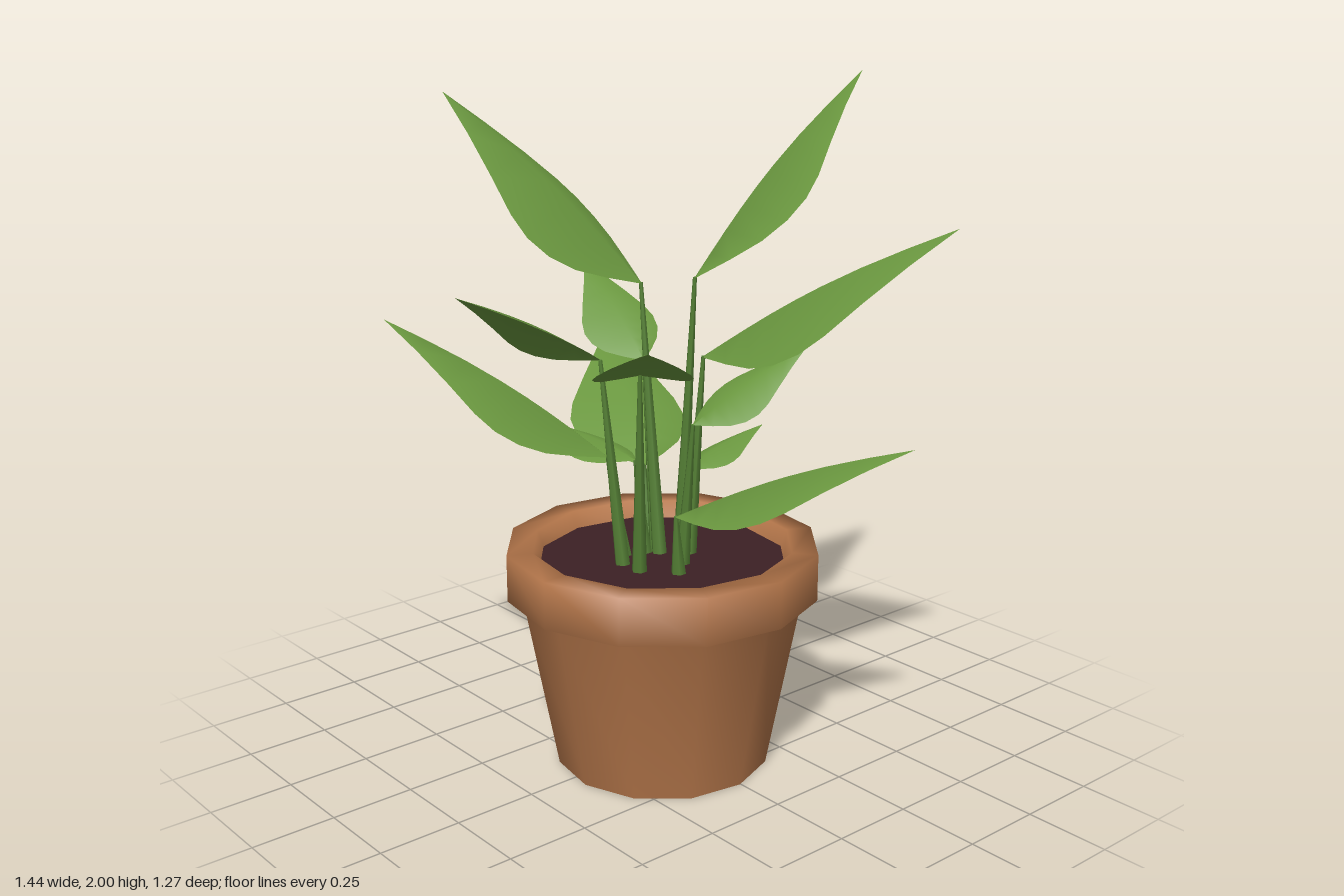
import * as THREE from 'three';
import { mergeVertices } from 'three/addons/utils/BufferGeometryUtils.js';

const terracotta = new THREE.MeshStandardMaterial({ color: 0xb4764a });
terracotta.name = 'terracotta';
const soilBrown = new THREE.MeshStandardMaterial({ color: 0x3c2024 });
soilBrown.name = 'soil brown';
const leafGreen = new THREE.MeshStandardMaterial({ color: 0x6a973f, side: THREE.DoubleSide });
leafGreen.name = 'leaf green';
const stemGreen = new THREE.MeshStandardMaterial({ color: 0x568236 });
stemGreen.name = 'stem green';

const SIDES = 12;
const TURN = THREE.MathUtils.degToRad(35);
const SOIL_Y = 0.62;

// Half width of a leaf along its length: [t, fraction of the widest part]
const OUTLINE = [
  [0, 0.03], [0.1, 0.42], [0.2, 0.76], [0.3, 0.95], [0.4, 1],
  [0.5, 0.91], [0.65, 0.64], [0.82, 0.32], [1, 0],
];

// Leaf base, leaf tip, roll in degrees and half width per length for every leaf
const LEAVES = [
  [[0.07, 1.45, -0.055], [0.14, 2.0, -0.64], -16, 0.25],
  [[-0.09, 1.42, 0.01], [-0.52, 1.95, 0.38], -11, 0.265],
  [[0.08, 1.22, -0.08], [0.72, 1.63, -0.41], 17, 0.24],
  [[0.17, 0.8, 0.1], [0.72, 1.05, -0.27], 0, 0.245],
  [[0.135, 1.22, 0.2], [0.54, 1.4, 0.51], 0, 0.245],
  [[-0.04, 1.23, 0.2], [-0.1, 1.455, 0.635], 19, 0.22],
  [[-0.1, 0.92, 0.13], [-0.595, 1.305, 0.56], 0, 0.25],
  [[-0.14, 0.85, -0.04], [-0.72, 1.13, -0.36], 0, 0.25],
  [[-0.09, 1.19, 0.0], [-0.47, 1.42, -0.08], -12, 0.245],
  [[0.15, 1.05, 0.02], [0.28, 1.25, -0.295], 14, 0.26],
  [[-0.07, 0.9, 0.05], [-0.46, 0.945, 0.1], 0, 0.24],
  [[-0.03, 0.85, -0.11], [-0.03, 0.93, -0.425], 0, 0.22],
];

// Turned pot part with soft normals weighted by face area
function lathe(name, profile) {
  const points = profile.map(([r, y]) => new THREE.Vector2(r, y));
  const turned = new THREE.LatheGeometry(points, SIDES, TURN);
  turned.deleteAttribute('normal');
  turned.deleteAttribute('uv');
  const geometry = mergeVertices(turned);
  geometry.computeVertexNormals();
  const mesh = new THREE.Mesh(geometry, terracotta);
  mesh.name = name;
  return mesh;
}

// Leaf with three points per cross-section: edge, raised midrib, edge
function makeLeaf(base, tip, roll, halfWidth) {
  const along = tip.clone().sub(base);
  const length = along.length();
  const dir = along.clone().normalize();
  const side = new THREE.Vector3(0, 1, 0).cross(dir).normalize()
    .applyAxisAngle(dir, THREE.MathUtils.degToRad(roll));
  const normal = dir.clone().cross(side);
  const positions = [];
  const indices = [];
  OUTLINE.forEach(([t, w], i) => {
    const rib = base.clone().addScaledVector(along, t)
      .addScaledVector(normal, 0.035 * length * Math.sin(Math.PI * t));
    for (const s of [1, 0, -1]) {
      const p = rib.clone().addScaledVector(side, s * halfWidth * length * w)
        .addScaledVector(normal, -Math.abs(s) * 0.09 * length * w);
      positions.push(...p.toArray());
    }
    if (i === 0) return;
    for (const k of [0, 1]) {
      const a = 3 * (i - 1) + k;
      indices.push(a, a + 1, a + 3, a + 1, a + 4, a + 3);
    }
  });
  const geometry = new THREE.BufferGeometry();
  geometry.setAttribute('position', new THREE.Float32BufferAttribute(positions, 3));
  geometry.setIndex(indices.reverse());
  geometry.computeVertexNormals();
  const mesh = new THREE.Mesh(geometry, leafGreen);
  mesh.name = 'leaf';
  return mesh;
}

// Tapered stem from the soil up to the leaf base; taller stems start nearer the middle
function makeStem(top) {
  const spread = 1.65 - top.y;
  const bottom = new THREE.Vector3(top.x * spread + 0.01, SOIL_Y - 0.01, top.z * 0.75);
  const axis = top.clone().sub(bottom);
  const mesh = new THREE.Mesh(new THREE.CylinderGeometry(0.006, 0.023, axis.length(), 6), stemGreen);
  mesh.position.copy(bottom).addScaledVector(axis, 0.5);
  mesh.quaternion.setFromUnitVectors(new THREE.Vector3(0, 1, 0), axis.normalize());
  mesh.name = 'stem';
  return mesh;
}

export function createModel() {
  const model = new THREE.Group();
  model.name = 'pottedPlant';

  // Pot with a thick rim and a hollowed underside
  const pot = new THREE.Group();
  pot.name = 'pot';
  pot.position.set(0.028, 0, 0.03);
  pot.add(lathe('potBody', [
    [0.318, 0], [0.417, 0.53], [0.462, 0.53], [0.462, 0.67], [0.385, 0.67], [0.36, 0.6],
  ]));
  pot.add(lathe('footRing', [[0.334, 0.11], [0.315, 0]]));
  const underside = new THREE.Mesh(
    new THREE.CircleGeometry(0.334, SIDES, Math.PI / 2 - TURN), terracotta);
  underside.name = 'potUnderside';
  underside.rotation.x = Math.PI / 2;
  underside.position.y = 0.11;
  pot.add(underside);

  // Soil
  const soil = new THREE.Mesh(
    new THREE.CircleGeometry(0.37, SIDES, TURN - Math.PI / 2), soilBrown);
  soil.name = 'soil';
  soil.rotation.x = -Math.PI / 2;
  soil.position.y = SOIL_Y;
  pot.add(soil);
  model.add(pot);

  // Stems and leaves
  for (const [b, t, roll, halfWidth] of LEAVES) {
    const base = new THREE.Vector3(...b);
    const shoot = new THREE.Group();
    shoot.name = 'shoot';
    shoot.add(makeStem(base), makeLeaf(base, new THREE.Vector3(...t), roll, halfWidth));
    model.add(shoot);
  }
  return model;
}
